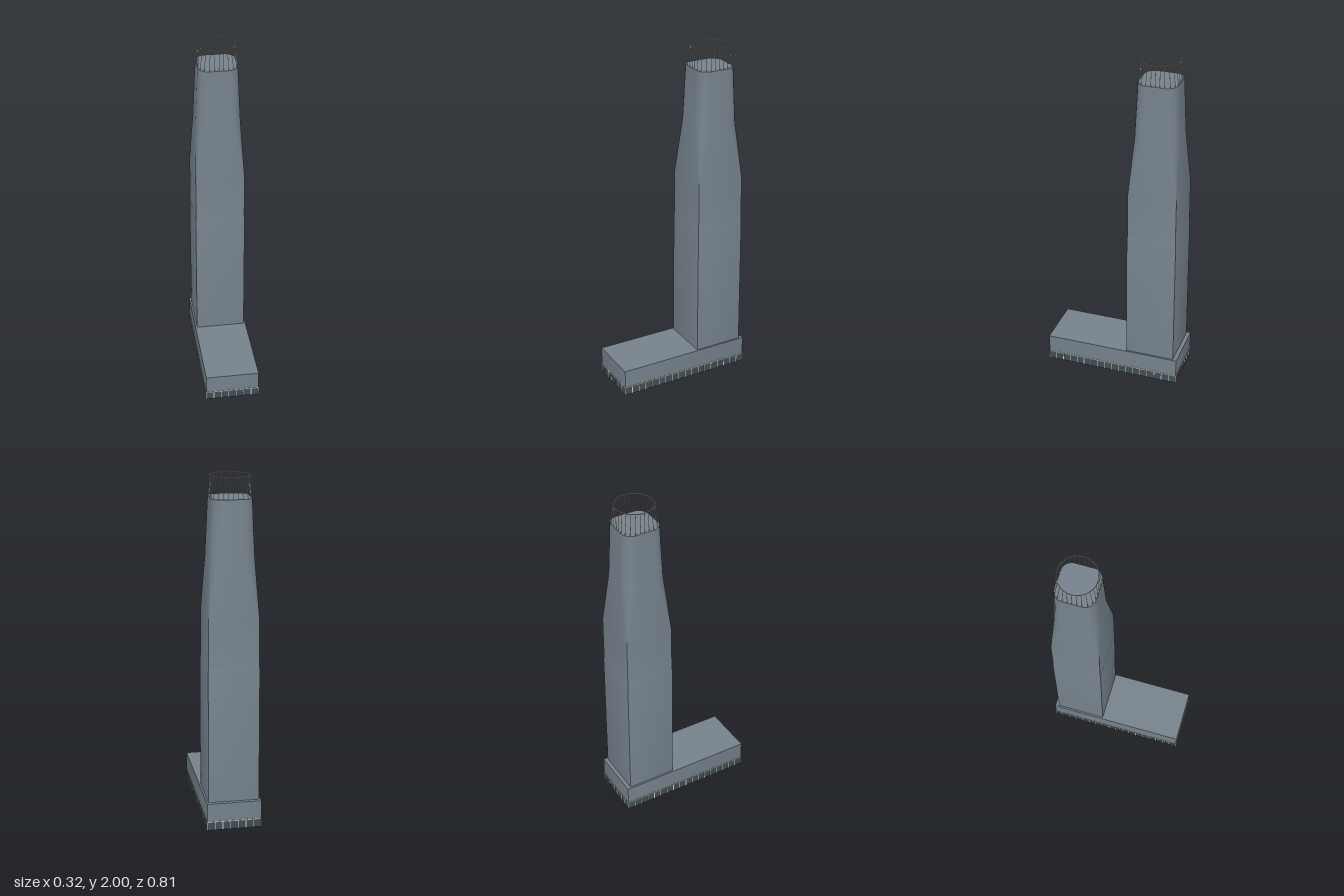
import * as THREE from 'three';
import { toCreasedNormals } from 'three/addons/utils/BufferGeometryUtils.js';

const TOWER_Z = -0.235;

// Rounded rectangle outline, counter-clockwise seen from above, as [x, z] pairs.
function outline(a, b, r, steps = 6) {
  const pts = [];
  for (let q = 0; q < 4; q++) {
    const sx = q === 0 || q === 3 ? 1 : -1;
    const sz = q < 2 ? -1 : 1;
    for (let i = 0; i <= steps; i++) {
      const t = (q + i / steps) * Math.PI / 2;
      pts.push([sx * (a - r) + r * Math.cos(t), sz * (b - r) - r * Math.sin(t)]);
    }
  }
  return pts;
}

// Skin between stacked sections [y, halfX, halfZ, cornerRadius]; optional flat roof.
function loft(sections, roof) {
  const pos = [], idx = [];
  let n = 0;
  for (const [y, a, b, r] of sections) {
    const ring = outline(a, b, r);
    n = ring.length;
    ring.forEach(([x, z]) => pos.push(x, y, z));
  }
  for (let s = 0; s < sections.length - 1; s++) {
    for (let i = 0; i < n; i++) {
      const j = (i + 1) % n, lo = s * n, hi = lo + n;
      idx.push(lo + i, lo + j, hi + j, lo + i, hi + j, hi + i);
    }
  }
  if (roof) {
    const top = (sections.length - 1) * n;
    pos.push(0, sections[sections.length - 1][0], 0);
    for (let i = 0; i < n; i++) idx.push(top + i, top + (i + 1) % n, pos.length / 3 - 1);
  }
  const g = new THREE.BufferGeometry();
  g.setAttribute('position', new THREE.Float32BufferAttribute(pos, 3));
  g.setIndex(idx);
  return toCreasedNormals(g.toNonIndexed(), 0.4);
}

export function createModel() {
  const wall = new THREE.MeshStandardMaterial({ color: 0x75818b, side: THREE.DoubleSide });
  const glass = new THREE.MeshStandardMaterial({ color: 0x3f4d54, side: THREE.DoubleSide });
  const trim = new THREE.MeshStandardMaterial({ color: 0xcfc9b6 });
  wall.name = 'slate wall';
  glass.name = 'dark glass';
  trim.name = 'pale trim';

  const model = new THREE.Group();
  model.name = 'tower';
  const add = (parent, geo, mat, name, x = 0, y = 0, z = 0) => {
    const m = new THREE.Mesh(geo, mat);
    m.name = name;
    m.position.set(x, y, z);
    parent.add(m);
    return m;
  };

  // Hollow podium, open underneath, above a glazed street level
  const W = 0.156, D = 0.404, E = 0.0005;
  add(model, loft([[0.05, W, D, E], [0.16, W, D, E]], true), wall, 'podium');
  add(model, loft([[0, W, D, E], [0.05, W, D, E]], false), glass, 'streetGlazing');

  // Mullions and head rail around the glazing
  const mullions = new THREE.Group();
  mullions.name = 'mullions';
  model.add(mullions);
  const post = new THREE.BoxGeometry(0.004, 0.05, 0.004);
  const nx = 7, nz = 18;
  for (const s of [-1, 1]) {
    for (let i = 0; i <= nx; i++)
      add(mullions, post, trim, 'mullion', W * (2 * i / nx - 1), 0.025, s * D);
    for (let i = 1; i < nz; i++)
      add(mullions, post, trim, 'mullion', s * W, 0.025, D * (2 * i / nz - 1));
    add(mullions, new THREE.BoxGeometry(2 * W + 0.004, 0.004, 0.004), trim, 'headRail', 0, 0.05, s * D);
    add(mullions, new THREE.BoxGeometry(0.004, 0.004, 2 * D), trim, 'headRail', s * W, 0.05, 0);
  }

  // Shaft: square below, blending into rounded corners higher up
  const topHalf = 0.113, topRadius = 0.06;
  const shaft = [
    [0.16, 0.146, E], [0.94, 0.145, E], [0.95, 0.143, E], [1.22, 0.142, E],
    [1.55, 0.128, 0.07], [1.88, topHalf, topRadius],
  ].map(([y, a, r]) => [y, a, a, r]);
  add(model, loft(shaft, true), wall, 'shaft', 0, 0, TOWER_Z);

  // Crown: thin rods leaning in from the roof edge to a round hoop
  const crown = new THREE.Group();
  crown.name = 'crown';
  crown.position.z = TOWER_Z;
  model.add(crown);
  const R = 0.109, count = 28, up = new THREE.Vector3(0, 1, 0);
  const hoop = add(crown, new THREE.TorusGeometry(R, 0.0025, 6, 56), trim, 'hoop', 0, 1.9975, 0);
  hoop.rotation.x = Math.PI / 2;
  for (let i = 0; i < count; i++) {
    const t = i / count * Math.PI * 2, c = Math.cos(t), s = Math.sin(t);
    // distance from the axis to the rounded-square roof edge in this direction
    const k = topHalf - topRadius, m = Math.max(Math.abs(c), Math.abs(s)), l = Math.min(Math.abs(c), Math.abs(s));
    let d = topHalf / m;
    if (d * l > k) {
      const p = k * (m + l);
      d = p + Math.sqrt(p * p - 2 * k * k + topRadius * topRadius);
    }
    d -= 0.002;
    const a = new THREE.Vector3(c * d, 1.88, s * d), b = new THREE.Vector3(c * R, 1.9975, s * R);
    const dir = b.clone().sub(a), mid = a.clone().add(b).multiplyScalar(0.5);
    const rod = add(crown, new THREE.CylinderGeometry(0.0015, 0.0015, dir.length(), 5), trim, 'rod', mid.x, mid.y, mid.z);
    rod.quaternion.setFromUnitVectors(up, dir.normalize());
  }
  return model;
}
